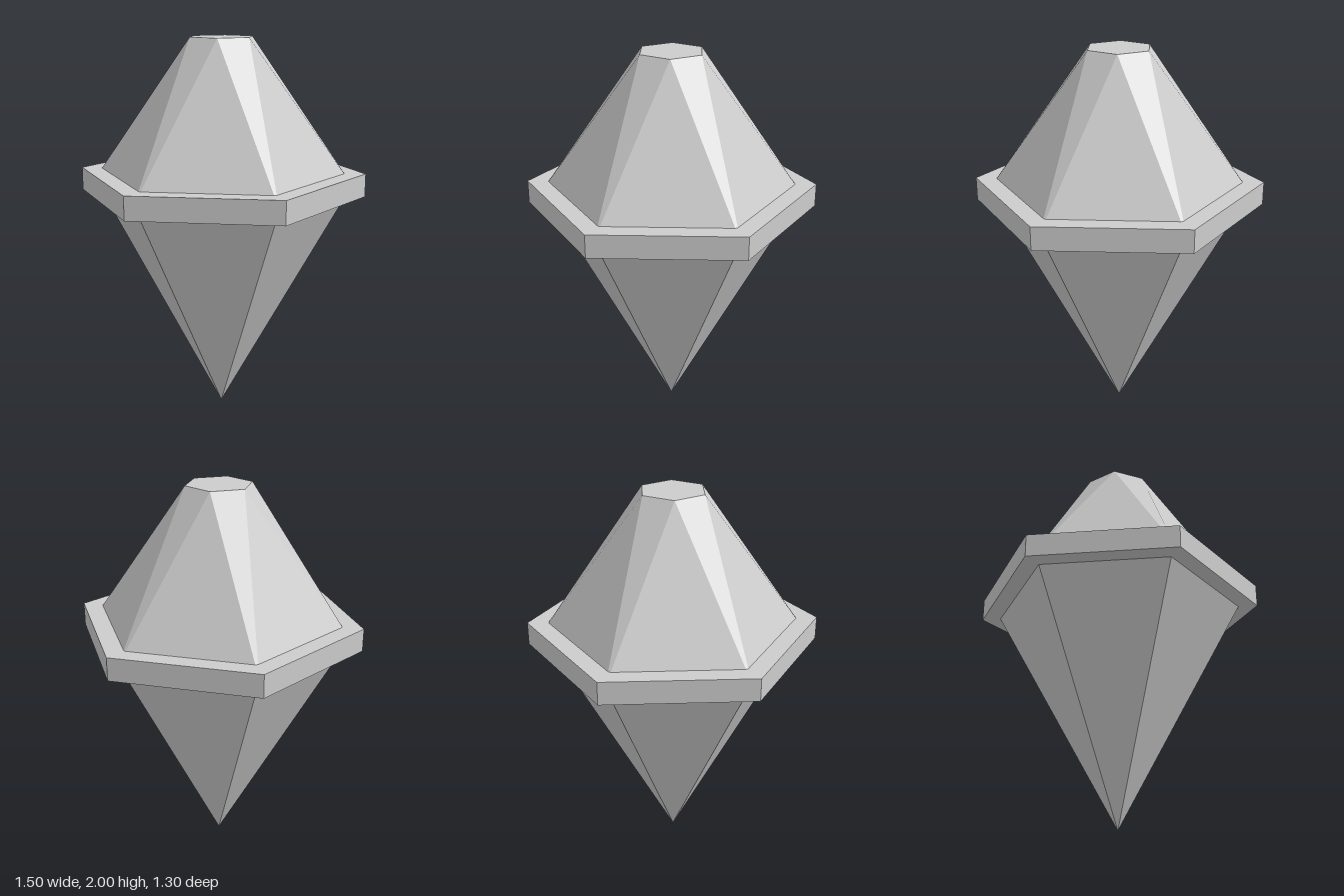
import * as THREE from 'three';

export function createModel() {
  const group = new THREE.Group();
  const stone = new THREE.MeshStandardMaterial({ color: 0xcccccc, flatShading: true });
  stone.name = 'light grey';

  const add = (name, geometry) => {
    const mesh = new THREE.Mesh(geometry, stone);
    mesh.name = name;
    group.add(mesh);
  };

  // Six-sided prism or cone with corners on the x axis
  const hexagon = (topRadius, bottomRadius, y0, y1) =>
    new THREE.CylinderGeometry(topRadius, bottomRadius, y1 - y0, 6)
      .rotateY(Math.PI / 6)
      .translate(0, (y0 + y1) / 2, 0);

  // Pointed lower half and the flat band around the middle
  add('lowerPoint', hexagon(0.683, 0, 0, 1.25));
  add('girdle', hexagon(0.75, 0.75, 1.19, 1.31));

  // Faceted crown: the top hexagon is turned 30 degrees against its base
  const corner = (radius, y, k) => {
    const a = (k * Math.PI) / 3;
    return [radius * Math.cos(a), y, radius * Math.sin(a)];
  };
  const base = (k) => corner(0.682, 1.25, k);
  const top = (k) => corner(0.172, 2, k + 0.5);
  const points = [];
  for (let k = 0; k < 6; k++) {
    points.push(...base(k), ...top(k), ...base(k + 1)); // wide facet
    points.push(...top(k), ...top(k + 1), ...base(k + 1)); // narrow facet
    points.push(0, 2, 0, ...top(k + 1), ...top(k)); // flat top
  }
  const crown = new THREE.BufferGeometry();
  crown.setAttribute('position', new THREE.Float32BufferAttribute(points, 3));
  crown.computeVertexNormals();
  add('crown', crown);

  return group;
}
